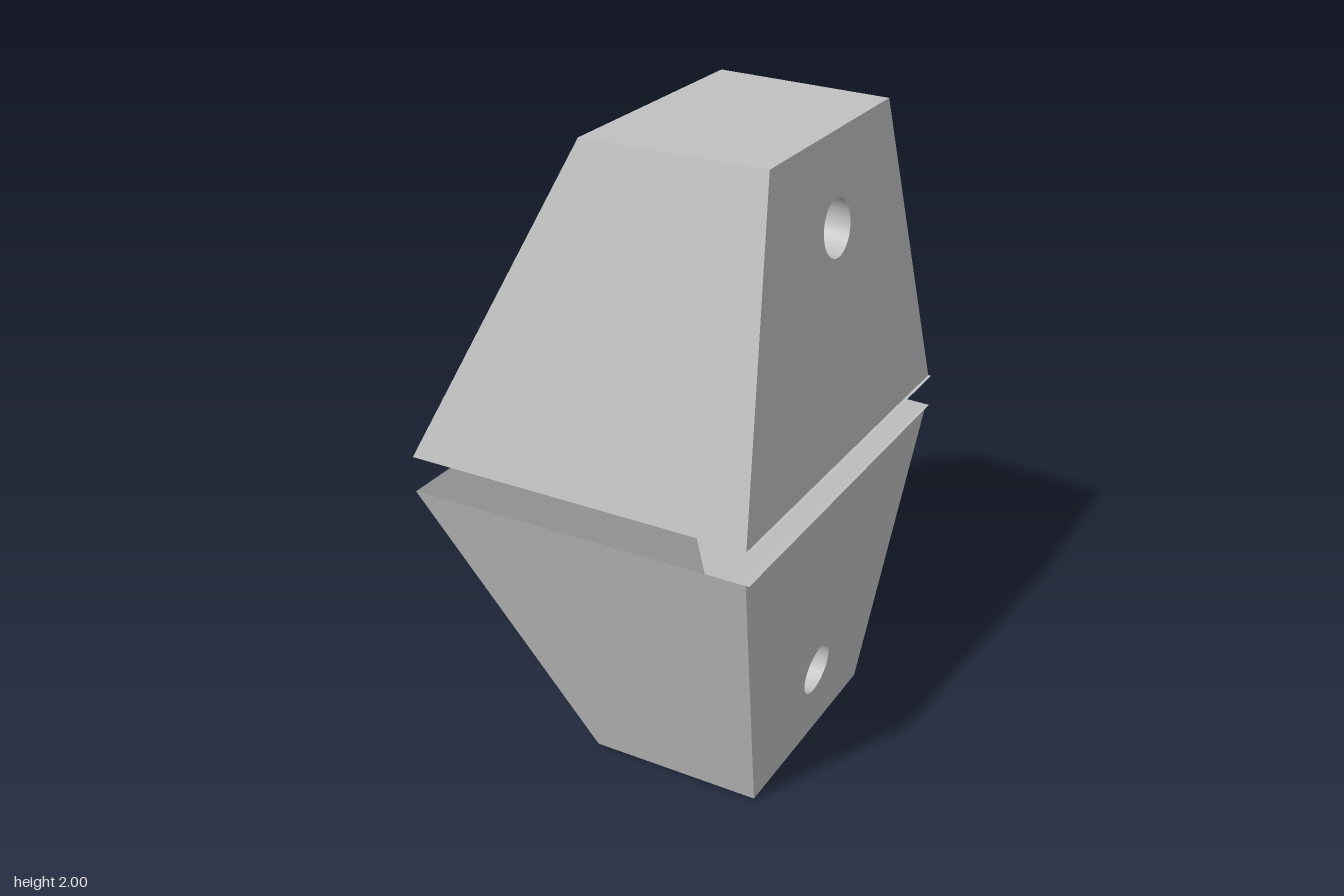
import * as THREE from 'three';

export function createModel() {
  const gray = new THREE.MeshStandardMaterial({ color: 0xc0c0c0, side: THREE.DoubleSide });
  gray.name = 'light gray';
  const model = new THREE.Group();
  model.name = 'twinTaperedShells';

  // Heights are measured from the middle plane y = 1.
  const A = { x: -0.54, h: 0.057, z: 0.65 };   // long-slope rim
  const B = { x: 0.527, h: 0.052, z: 0.607 };  // steep rim
  const C = { x: 0.44, h: 1, z: 0.36 };        // cap, steep side
  const D = { x: -0.112, h: 1, z: 0.382 };     // cap, long-slope side

  const SEG = 32, R = 0.083;
  const axisStart = { x: 0.464, h: 0.735 }, axisSlope = -0.08;

  // Where the slanted bore meets a wall running from rim to cap.
  function boreRing(rim, cap) {
    const k = (cap.x - rim.x) / (cap.h - rim.h);
    const ring = [];
    for (let i = 0; i < SEG; i++) {
      const a = (i / SEG) * Math.PI * 2;
      const h0 = axisStart.h + R * Math.sin(a);
      const x = (rim.x + k * (h0 - axisSlope * axisStart.x - rim.h)) / (1 - k * axisSlope);
      ring.push(new THREE.Vector3(x, h0 + axisSlope * (x - axisStart.x), R * Math.cos(a)));
    }
    return ring;
  }

  function buildShell(name, s) {
    const shell = new THREE.Group();
    shell.name = name;
    const add = (part, geo) => {
      const mesh = new THREE.Mesh(geo, gray);
      mesh.name = part;
      shell.add(mesh);
    };
    const pt = (p, side) => [p.x, 1 + s * p.h, p.z * side];

    function quad(part, corners) {
      const geo = new THREE.BufferGeometry();
      geo.setAttribute('position', new THREE.Float32BufferAttribute(corners.flat(), 3));
      geo.setIndex(s > 0 ? [0, 1, 2, 0, 2, 3] : [0, 2, 1, 0, 3, 2]);
      geo.computeVertexNormals();
      add(part, geo);
    }

    // Sloping wall pierced by the bore, facing the given x direction
    function piercedWall(part, rim, cap, ring, facing) {
      const shape = new THREE.Shape([[-rim.z, rim.h], [rim.z, rim.h], [cap.z, cap.h], [-cap.z, cap.h]]
        .map(([z, h]) => new THREE.Vector2(z, h)));
      shape.holes.push(new THREE.Path(ring.map(p => new THREE.Vector2(p.z, p.y))));
      const geo = new THREE.ShapeGeometry(shape);
      const pos = geo.attributes.position;
      const k = (cap.x - rim.x) / (cap.h - rim.h);
      for (let i = 0; i < pos.count; i++) {
        const z = pos.getX(i), h = pos.getY(i);
        pos.setXYZ(i, rim.x + k * (h - rim.h), 1 + s * h, z);
      }
      if (facing * s > 0) { // turn the wall to face outwards
        const idx = geo.index;
        for (let i = 0; i < idx.count; i += 3) {
          const t = idx.getX(i);
          idx.setX(i, idx.getX(i + 1));
          idx.setX(i + 1, t);
        }
      }
      geo.computeVertexNormals();
      add(part, geo);
    }

    quad('frontWall', [pt(A, 1), pt(B, 1), pt(C, 1), pt(D, 1)]);
    quad('backWall', [pt(B, -1), pt(A, -1), pt(D, -1), pt(C, -1)]);
    quad('cap', [pt(D, 1), pt(C, 1), pt(C, -1), pt(D, -1)]);

    // Narrow lip along the steep rim
    const lip = { x: 0.537, h: B.h, z: B.z };
    quad('rimLip', [pt(B, 1), pt(lip, 1), pt(lip, -1), pt(B, -1)]);

    const right = boreRing(B, C), left = boreRing(A, D);
    piercedWall('steepWall', B, C, right, 1);
    piercedWall('slopedWall', A, D, left, -1);

    // Slanted tube joining the two openings, smooth inside
    const pos = [], nor = [], index = [];
    for (let i = 0; i <= SEG; i++) {
      const a = (i / SEG) * Math.PI * 2;
      for (const p of [right[i % SEG], left[i % SEG]]) {
        pos.push(p.x, 1 + s * p.y, p.z);
        const n = new THREE.Vector3(axisSlope * Math.sin(a), -s * Math.sin(a), -Math.cos(a)).normalize();
        nor.push(n.x, n.y, n.z);
      }
      if (i < SEG) {
        const q = i * 2;
        index.push(...(s > 0 ? [q, q + 1, q + 2, q + 1, q + 3, q + 2] : [q, q + 2, q + 1, q + 1, q + 2, q + 3]));
      }
    }
    const tube = new THREE.BufferGeometry();
    tube.setAttribute('position', new THREE.Float32BufferAttribute(pos, 3));
    tube.setAttribute('normal', new THREE.Float32BufferAttribute(nor, 3));
    tube.setIndex(index);
    add('boreTube', tube);
    return shell;
  }

  model.add(buildShell('upperShell', 1), buildShell('lowerShell', -1));
  return model;
}
